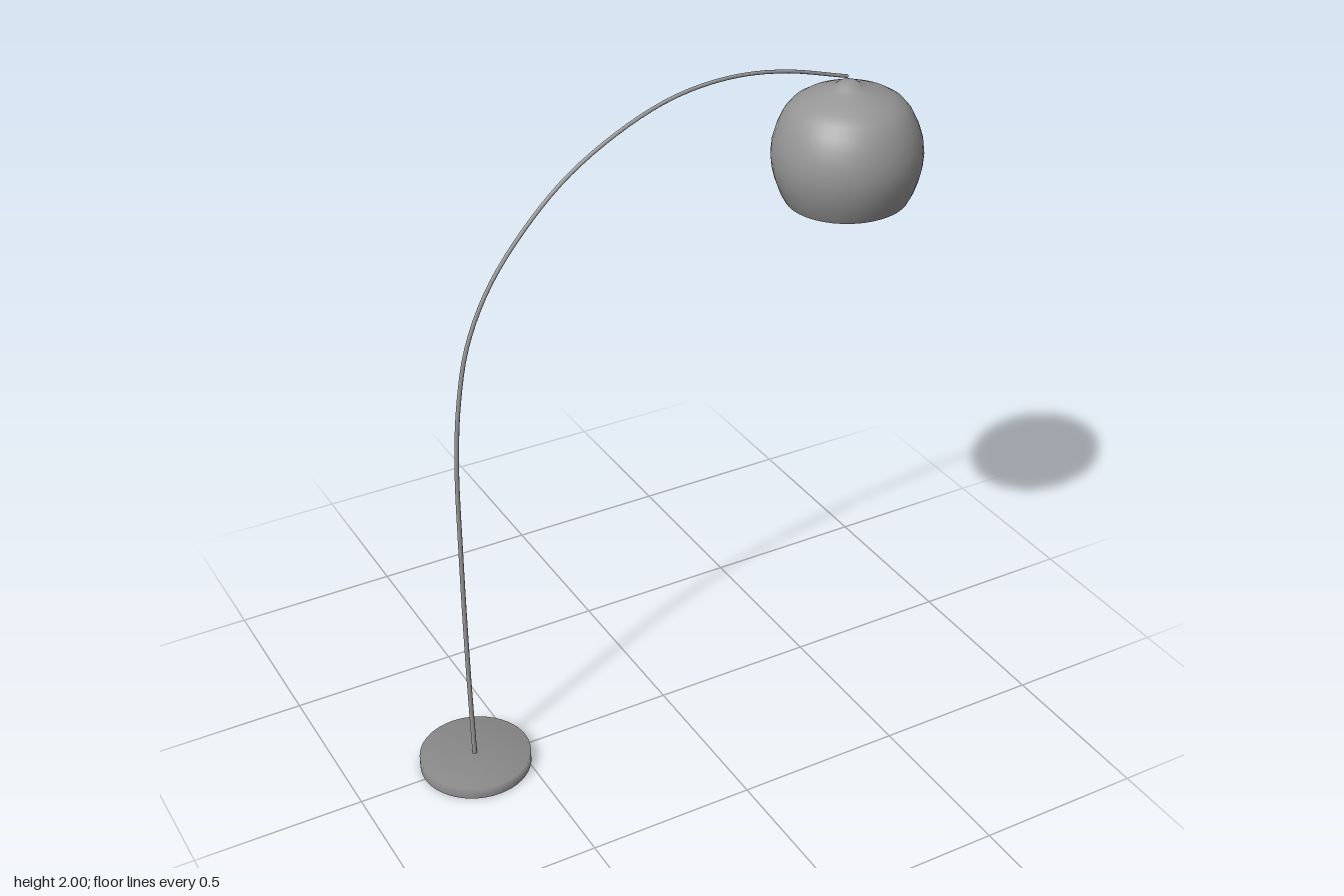
import * as THREE from 'three';

const grey = new THREE.MeshStandardMaterial({ color: 0x959595 });
const darkGrey = new THREE.MeshStandardMaterial({ color: 0x888888 });

function addMesh(parent, name, geometry, material) {
  const mesh = new THREE.Mesh(geometry, material);
  mesh.name = name;
  parent.add(mesh);
}

const lathe = (points, sides) =>
  new THREE.LatheGeometry(points.map(([r, y]) => new THREE.Vector2(r, y)), sides);

// Flat disc facing down, closing the underside of a turned part
const underside = (radius, sides) => new THREE.CircleGeometry(radius, sides).rotateX(Math.PI / 2);

// Round rod along a curve, narrowing from r0 to r1
function taperedRod(curve, segments, sides, r0, r1) {
  const geometry = new THREE.TubeGeometry(curve, segments, 1, sides);
  const pos = geometry.attributes.position;
  const v = new THREE.Vector3();
  for (let i = 0; i < pos.count; i++) {
    const t = Math.floor(i / (sides + 1)) / segments;
    const centre = curve.getPointAt(t);
    v.fromBufferAttribute(pos, i).sub(centre).multiplyScalar(r0 + (r1 - r0) * t).add(centre);
    pos.setXYZ(i, v.x, v.y, v.z);
  }
  return geometry;
}

export function createModel() {
  const lamp = new THREE.Group();
  lamp.name = 'arcFloorLamp';

  // Round foot, shaded softly over its rim
  const base = new THREE.Group();
  base.name = 'base';
  base.position.x = -0.636;
  lamp.add(base);
  addMesh(base, 'baseDisc', lathe([[0.164, 0], [0.164, 0.036], [0, 0.036]], 48), darkGrey);
  addMesh(base, 'baseUnderside', underside(0.164, 48), darkGrey);

  // Upright that bends over into the arc
  const path = new THREE.CatmullRomCurve3([
    [-0.638, 0.03], [-0.643, 0.35], [-0.644, 0.75], [-0.64, 1.05], [-0.623, 1.24],
    [-0.59, 1.4], [-0.523, 1.55], [-0.418, 1.69], [-0.28, 1.82], [-0.1, 1.925],
    [0.05, 1.977], [0.21, 1.994], [0.37, 1.978], [0.575, 1.924],
  ].map(([x, y]) => new THREE.Vector3(x, y, 0)));
  addMesh(lamp, 'arcPole', taperedRod(path, 72, 10, 0.007, 0.005), grey);

  // Globe shade with a small cap, hung at a slight tilt
  const shade = new THREE.Group();
  shade.name = 'shade';
  shade.position.set(0.591, 1.562, 0);
  shade.rotation.z = 0.035;
  lamp.add(shade);
  addMesh(shade, 'shadeGlobe', lathe([
    [0.176, 0], [0.19, 0.027], [0.203, 0.065], [0.211, 0.1], [0.214, 0.135], [0.21, 0.175],
    [0.198, 0.215], [0.18, 0.253], [0.158, 0.28], [0.128, 0.299], [0.09, 0.315], [0.058, 0.326],
    [0.038, 0.335], [0.027, 0.344], [0.014, 0.348], [0, 0.349],
  ], 40), grey);
  addMesh(shade, 'shadeUnderside', underside(0.176, 40), grey);

  return lamp;
}
